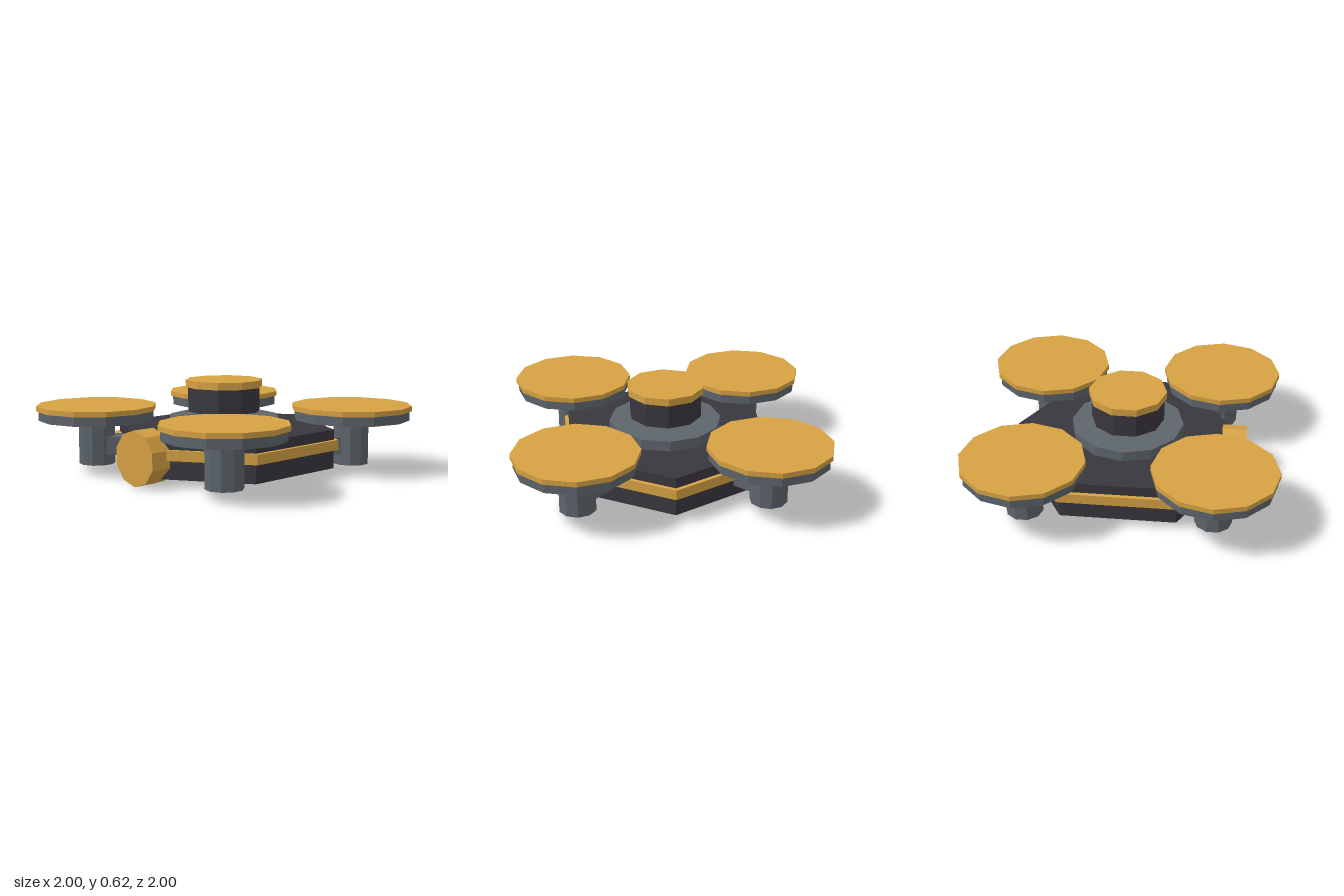
import * as THREE from 'three';

const flat = (name, color) => {
  const m = new THREE.MeshStandardMaterial({ color, flatShading: true });
  m.name = name;
  return m;
};

export function createModel() {
  const gold = flat('gold', 0xd6a143);
  const dark = flat('charcoal', 0x39373e);
  const grey = flat('slate grey', 0x5d656b);

  const model = new THREE.Group();
  model.name = 'drone';

  // Upright prism between two heights
  const prism = (parent, name, material, sides, radius, y0, y1) => {
    const mesh = new THREE.Mesh(new THREE.CylinderGeometry(radius, radius, y1 - y0, sides), material);
    mesh.name = name;
    mesh.position.y = (y0 + y1) / 2;
    parent.add(mesh);
    return mesh;
  };

  // Hexagonal hull with trim band and round centre plates
  prism(model, 'hull', dark, 6, 0.74, 0.05, 0.305);
  prism(model, 'trimBand', gold, 6, 0.77, 0.172, 0.238);
  prism(model, 'topPlate', grey, 12, 0.37, 0.29, 0.373);
  prism(model, 'bottomPlate', grey, 12, 0.37, 0.022, 0.07);

  // Turret hovering just above the top plate
  prism(model, 'turret', dark, 10, 0.24, 0.405, 0.57);
  prism(model, 'turretCap', gold, 10, 0.256, 0.567, 0.615);

  // Front lens
  const lens = prism(model, 'frontLens', gold, 10, 0.178, 0, 0.16);
  lens.rotation.x = Math.PI / 2;
  lens.position.set(0, 0.178, 0.708);

  // Four diagonal arms with motors and rotor discs
  for (const sx of [-1, 1]) {
    for (const sz of [-1, 1]) {
      const arm = new THREE.Mesh(new THREE.BoxGeometry(0.18, 0.12, 0.5), grey);
      arm.name = 'arm';
      arm.position.set(sx * 0.42, 0.18, sz * 0.42);
      arm.rotation.y = Math.atan2(sx, sz);
      model.add(arm);

      const rotor = new THREE.Group();
      rotor.name = 'rotorUnit';
      rotor.position.set(sx * 0.6, 0, sz * 0.6);
      prism(rotor, 'motor', grey, 10, 0.12, 0.052, 0.36);
      prism(rotor, 'rotorHousing', grey, 12, 0.385, 0.35, 0.42);
      prism(rotor, 'rotorDisc', gold, 12, 0.4, 0.413, 0.446);
      model.add(rotor);
    }
  }
  return model;
}
